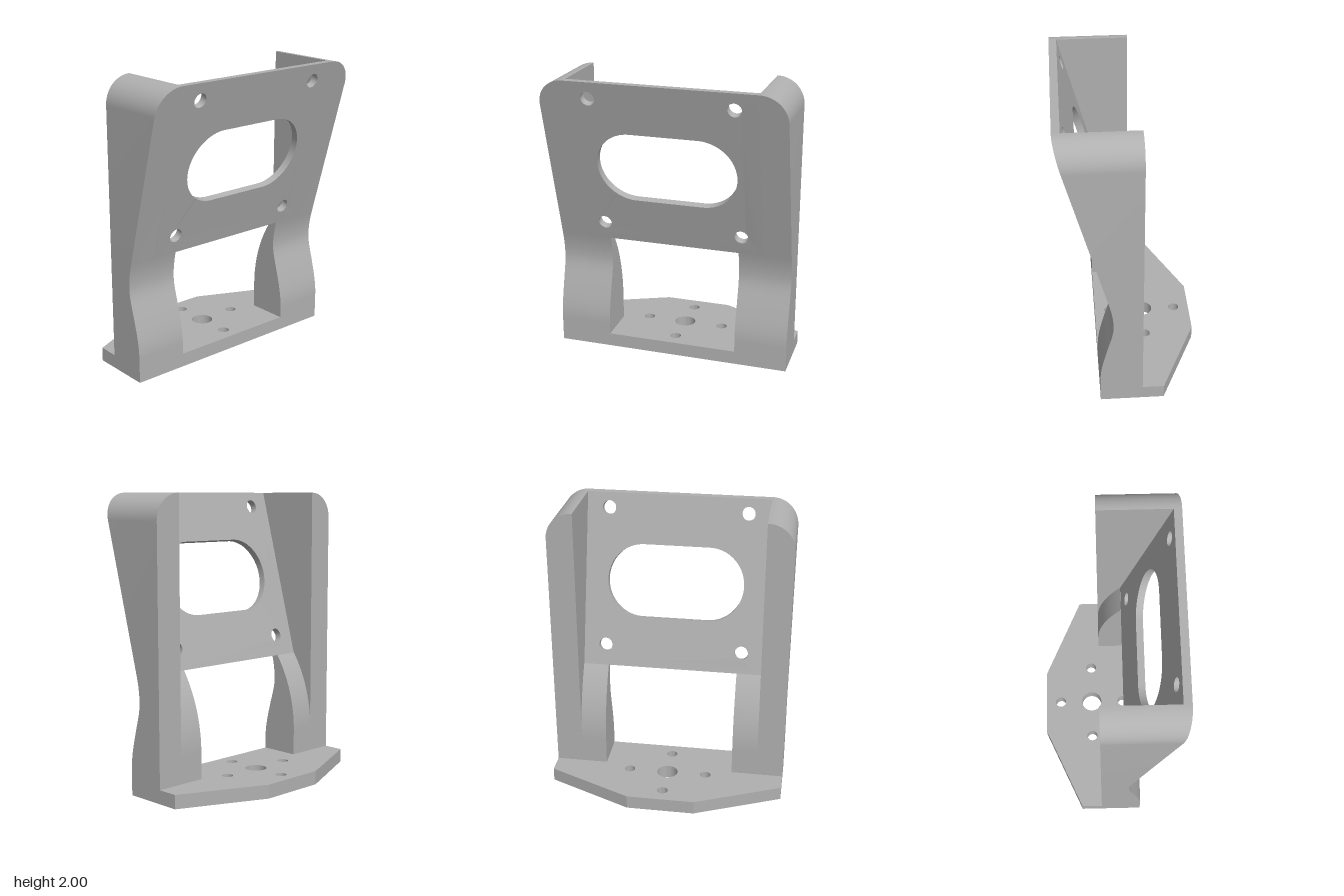
import * as THREE from 'three';
import { toCreasedNormals } from 'three/addons/utils/BufferGeometryUtils.js';

const TOP = 2, BASE = 0.095, SILL = 0.815, BACK = -0.07;
const WALL_IN = 0.64, WALL_OUT = 0.825, LEG_IN = 0.46, SLOPE = 0.273;

// Front outline: [y, x, dx/dy], blended smoothly, straight above the last knot
const KNOTS = [[0.18, 0.216, 0], [0.45, 0.166, -0.27], [0.64, 0.125, 0], [0.82, 0.152, SLOPE]];
function outerX(y) {
  if (y <= KNOTS[0][0]) return KNOTS[0][1];
  if (y >= 0.82) return 0.152 + SLOPE * (y - 0.82);
  const i = KNOTS.findIndex((k) => k[0] > y) - 1;
  const [y0, x0, m0] = KNOTS[i], [y1, x1, m1] = KNOTS[i + 1];
  const h = y1 - y0, t = (y - y0) / h, t2 = t * t, t3 = t2 * t;
  return (2 * t3 - 3 * t2 + 1) * x0 + (t3 - 2 * t2 + t) * h * m0
    + (3 * t2 - 2 * t3) * x1 + (t3 - t2) * h * m1;
}

// Rear outline of the legs: vertical, then a large arc towards the panel
function legBackX(y) {
  const r = 0.94, d = Math.max(0, y - 0.28);
  return BACK + r - Math.sqrt(r * r - d * d);
}

// Outer edge of the side walls, rounded at the top
function wallZ(y) {
  const r = 0.18, d = Math.max(0, y - (TOP - r));
  return WALL_OUT - r + Math.sqrt(Math.max(0, r * r - d * d));
}

// Stack rectangular cross-sections {y, x0, x1, z0, z1} into a closed solid
function loft(rows) {
  const pos = [], idx = [];
  rows.forEach(({ y, x0, x1, z0, z1 }, j) => {
    pos.push(x0, y, z0, x1, y, z0, x1, y, z1, x0, y, z1);
    if (j === 0) return;
    for (let k = 0; k < 4; k++) {
      const a = (j - 1) * 4 + k, b = (j - 1) * 4 + (k + 1) % 4;
      idx.push(a, a + 4, b, b, a + 4, b + 4);
    }
  });
  const n = (rows.length - 1) * 4;
  idx.push(0, 1, 2, 0, 2, 3, n, n + 2, n + 1, n, n + 3, n + 2);
  const g = new THREE.BufferGeometry();
  g.setAttribute('position', new THREE.Float32BufferAttribute(pos, 3));
  g.setIndex(idx);
  return toCreasedNormals(g, 0.4);
}

const range = (a, b, n) => Array.from({ length: n + 1 }, (_, i) => a + (b - a) * i / n);

function hole(x, y, r) {
  const p = new THREE.Path();
  p.absarc(x, y, r, 0, Math.PI * 2, true);
  return p;
}

function polygon(points) {
  return new THREE.Shape(points.map(([x, y]) => new THREE.Vector2(x, y)));
}

// Mounting foot with a centre bore and four screw holes
function footGeometry() {
  const s = polygon([[-0.48, -0.235], [-0.215, -WALL_OUT], [0.216, -WALL_OUT],
    [0.216, WALL_OUT], [-0.215, WALL_OUT], [-0.48, 0.235]]);
  const cx = -0.131;
  s.holes.push(hole(cx, 0, 0.074));
  for (const d of [-1, 1]) {
    s.holes.push(hole(cx + d * 0.239, 0, 0.038), hole(cx, d * 0.276, 0.038));
  }
  const g = new THREE.ExtrudeGeometry(s, { depth: BASE, bevelEnabled: false, curveSegments: 24 });
  g.rotateX(-Math.PI / 2);
  return toCreasedNormals(g, 0.4);
}

// Leaning panel with an oblong window and four screw holes
function panelGeometry() {
  const s = polygon([[-WALL_IN, SILL], [WALL_IN, SILL], [WALL_IN, TOP], [-WALL_IN, TOP]]);
  const r = 0.25, c = 0.23, cy = 1.4;
  const slot = new THREE.Path();
  slot.absarc(c, cy, r, Math.PI / 2, -Math.PI / 2, true);
  slot.absarc(-c, cy, r, -Math.PI / 2, -Math.PI * 1.5, true);
  slot.closePath();
  s.holes.push(slot);
  for (const z of [-0.485, 0.485]) {
    for (const y of [0.945, 1.885]) s.holes.push(hole(z, y, 0.047));
  }
  const g = new THREE.ExtrudeGeometry(s, { depth: 1, bevelEnabled: false, curveSegments: 24 });
  g.rotateY(Math.PI / 2);
  // Lean both faces; the holes run square to the panel
  const p = g.attributes.position;
  for (let i = 0; i < p.count; i++) {
    let y = p.getY(i);
    const front = p.getX(i) > 0.5;
    if (!front && y > SILL + 0.001 && y < TOP - 0.001) y += 0.013;
    p.setXYZ(i, outerX(Math.max(y, 0.82)) - (front ? 0 : 0.053), y, p.getZ(i));
  }
  return toCreasedNormals(g, 0.4);
}

export function createModel() {
  const model = new THREE.Group();
  model.name = 'mountingBracket';
  const grey = new THREE.MeshStandardMaterial({ color: 0xb0b0b0 });
  grey.name = 'plain grey';
  const add = (name, geometry) => {
    const m = new THREE.Mesh(geometry, grey);
    m.name = name;
    model.add(m);
  };

  add('foot', footGeometry());
  add('panel', panelGeometry());

  const wallYs = [...range(BASE, 0.82, 40),
    ...range(0, Math.PI / 2, 20).map((a) => TOP - 0.18 + 0.18 * Math.sin(a))];
  const legYs = range(BASE, SILL, 40);
  for (const side of [1, -1]) {
    const label = side > 0 ? 'front' : 'rear';
    const span = (a, b) => (side > 0 ? { z0: a, z1: b } : { z0: -b, z1: -a });
    // Full-height side wall
    add(label + 'SideWall', loft(wallYs.map((y) => (
      { y, x0: BACK, x1: outerX(y), ...span(WALL_IN, wallZ(y)) }))));
    // Curved leg below the panel, beside the opening
    add(label + 'Leg', loft(legYs.map((y) => (
      { y, x0: legBackX(y), x1: outerX(y), ...span(LEG_IN, WALL_IN) }))));
  }
  return model;
}
